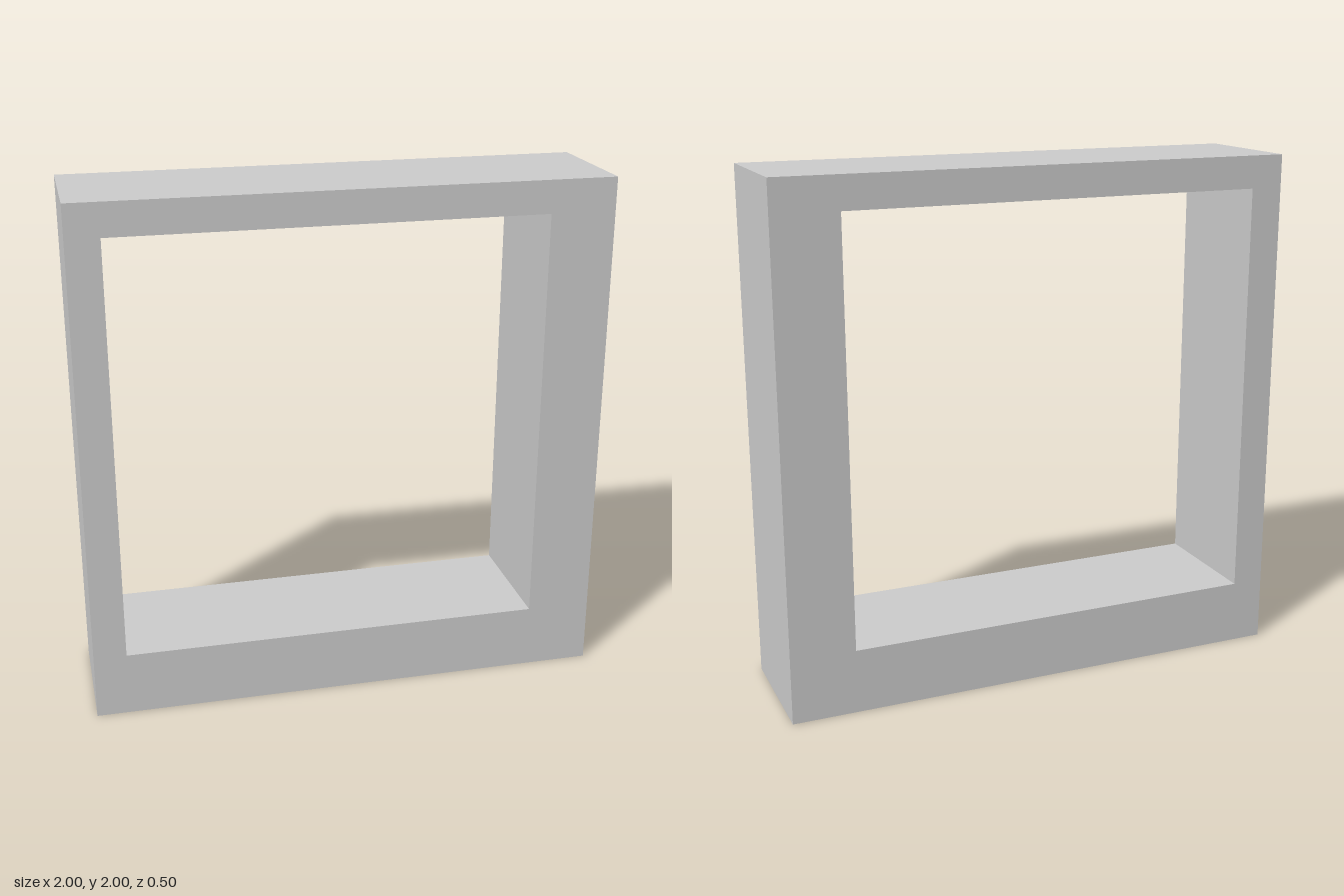
import * as THREE from 'three';

// Adds a counter-clockwise rectangle to a shape or path
function rectangle(path, left, bottom, right, top) {
  path.moveTo(left, bottom);
  path.lineTo(right, bottom);
  path.lineTo(right, top);
  path.lineTo(left, top);
  path.closePath();
  return path;
}

export function createModel() {
  const depth = 0.5;

  // Square frame with an off-centre opening: thick base and left post
  const outline = rectangle(new THREE.Shape(), -1, 0, 1, 2);
  outline.holes.push(rectangle(new THREE.Path(), -0.875, 0.25, 0.75, 1.875));

  const geometry = new THREE.ExtrudeGeometry(outline, { depth, bevelEnabled: false });
  geometry.translate(0, 0, -depth / 2);

  const frame = new THREE.Mesh(
    geometry,
    new THREE.MeshStandardMaterial({ color: 0xcccccc, flatShading: true })
  );
  frame.name = 'frame';

  const model = new THREE.Group();
  model.name = 'squareFrame';
  model.add(frame);
  return model;
}
